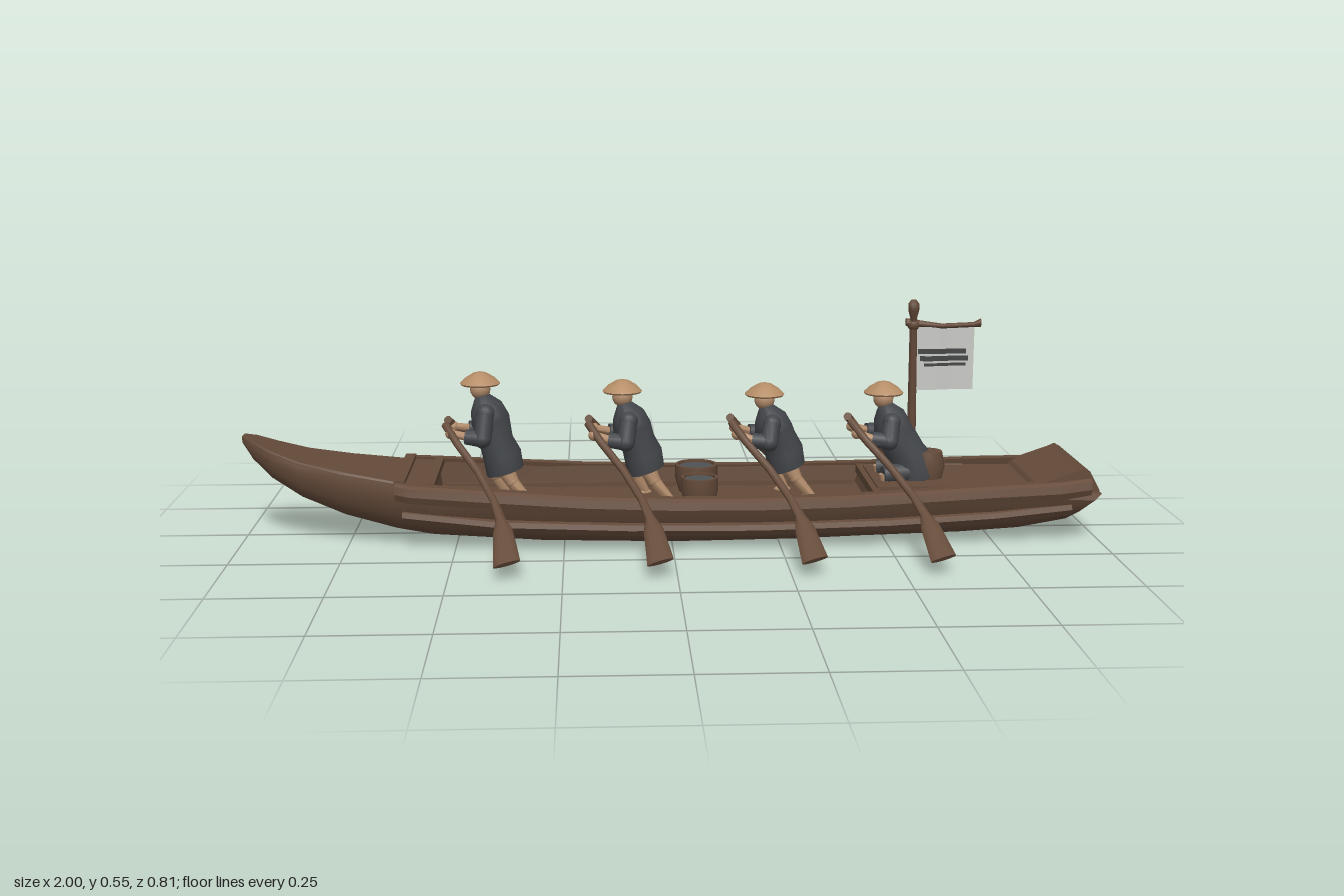
import * as THREE from 'three';
import { toCreasedNormals } from 'three/addons/utils/BufferGeometryUtils.js';

const mat = (name, color, side = THREE.FrontSide) =>
  Object.assign(new THREE.MeshStandardMaterial({ color, side }), { name });
const V = (x, y, z) => new THREE.Vector3(x, y, z);

export function createModel() {
  const wood = mat('dark wood', 0x654b3a);
  const robe = mat('charcoal cloth', 0x43464a);
  const straw = mat('straw', 0xb48c66);
  const skin = mat('skin', 0xb08a6a);
  const cloth = mat('flag cloth', 0xc9cac6, THREE.DoubleSide);
  const ink = mat('flag stripe', 0x444646, THREE.DoubleSide);
  const water = mat('bucket contents', 0x4e5254);

  const model = new THREE.Group();
  model.name = 'rowingBoat';
  const add = (name, geo, material, parent = model) => {
    const m = new THREE.Mesh(geo, material);
    m.name = name;
    parent.add(m);
    return m;
  };

  // Skin a row of equal rings and close both ends
  function loft(rings, crease = 0.6) {
    const n = rings[0].length, pos = [];
    const tri = (...ps) => ps.forEach(p => pos.push(p.x, p.y, p.z));
    for (let i = 0; i < rings.length - 1; i++) for (let j = 0; j < n; j++) {
      const k = (j + 1) % n, a = rings[i], b = rings[i + 1];
      tri(a[j], b[j], b[k]);
      tri(a[j], b[k], a[k]);
    }
    const first = rings[0], last = rings[rings.length - 1];
    const mid = r => r.reduce((s, p) => s.add(p), V(0, 0, 0)).divideScalar(n);
    const c0 = mid(first), c1 = mid(last);
    for (let j = 0; j < n; j++) {
      const k = (j + 1) % n;
      tri(c0, first[j], first[k]);
      tri(c1, last[k], last[j]);
    }
    const g = new THREE.BufferGeometry();
    g.setAttribute('position', new THREE.Float32BufferAttribute(pos, 3));
    return toCreasedNormals(g, crease);
  }

  // Elliptical sweep; each section is [x, y, z, radius across, other radius]
  function sweep(sections, sides = 12, crease = 1) {
    const pts = sections.map(s => V(s[0], s[1], s[2]));
    const d = pts[pts.length - 1].clone().sub(pts[0]).normalize();
    const u = Math.abs(d.x) > 0.9 ? V(0, 0, 1) : V(1, 0, 0);
    u.addScaledVector(d, -u.dot(d)).normalize();
    const v = u.clone().cross(d);
    return loft(sections.map((s, i) => Array.from({ length: sides }, (_, j) => {
      const a = j / sides * Math.PI * 2;
      return pts[i].clone().addScaledVector(u, Math.cos(a) * s[3])
        .addScaledVector(v, Math.sin(a) * (s[4] ?? s[3]));
    })), crease);
  }
  const ball = (name, x, y, z, r, material, parent) =>
    add(name, new THREE.SphereGeometry(r, 14, 10), material, parent).position.set(x, y, z);

  // Hull stations: x, bottom, top, half width, floor, stern rake
  const stations = [
    [-1, 0.225, 0.243, 0.018, 0.243, 0], [-0.975, 0.19, 0.233, 0.042, 0.235, 0],
    [-0.93, 0.148, 0.213, 0.068, 0.216, 0], [-0.86, 0.105, 0.188, 0.092, 0.193, 0],
    [-0.76, 0.065, 0.168, 0.115, 0.174, 0], [-0.64, 0.035, 0.152, 0.144, 0.156, 0],
    [-0.56, 0.022, 0.147, 0.158, 0.147, 0], [-0.55, 0.021, 0.146, 0.159, 0.085, 0],
    [-0.3, 0.006, 0.13, 0.174, 0.08, 0], [0, 0, 0.117, 0.18, 0.078, 0],
    [0.3, 0.003, 0.117, 0.178, 0.078, 0], [0.465, 0.008, 0.12, 0.17, 0.08, 0],
    [0.475, 0.008, 0.12, 0.17, 0.113, 0], [0.68, 0.012, 0.126, 0.157, 0.117, 0.01],
    [0.82, 0.02, 0.128, 0.152, 0.12, 0.04], [0.915, 0.038, 0.115, 0.15, 0.113, 0.085],
  ];
  add('hull', loft(stations.map(([x, b, t, w, f, rake]) => {
    const h = t - b;
    const half = [[0.55, 0], [0.74, 0.12], [0.9, 0.4], [1, 0.8], [0.97, 1], [0.87, 1]]
      .map(([z, y]) => [z * w, b + y * h]);
    half.push([0.85 * w, f]);
    const at = (z, y) => V(x + rake * (y - b) / h, y, z);
    return [at(0, b), ...half.map(([z, y]) => at(z, y)), at(0, f),
      ...half.reverse().map(([z, y]) => at(-z, y))];
  }), 0.5), wood);

  // Gunwales and lower strakes on both sides: x, y centre, z centre
  const gunwale = [[-0.635, 0.138, 0.15], [-0.6, 0.134, 0.163], [-0.4, 0.121, 0.174],
    [-0.2, 0.109, 0.182], [0, 0.103, 0.187], [0.2, 0.102, 0.188], [0.4, 0.105, 0.182],
    [0.6, 0.112, 0.168], [0.75, 0.118, 0.16], [0.9, 0.122, 0.15], [0.975, 0.13, 0.143]];
  const strake = [[-0.62, 0.078, 0.135], [-0.4, 0.06, 0.163], [-0.1, 0.052, 0.175],
    [0.2, 0.05, 0.176], [0.5, 0.054, 0.162], [0.75, 0.064, 0.147], [0.93, 0.08, 0.138]];
  function rail(name, path, section) {
    for (const s of [1, -1]) add(name, loft(path.map(([x, y, z]) => {
      const ring = section.map(([dz, dy]) => V(x, y + dy, s * (z + dz)));
      return s > 0 ? ring : ring.reverse();
    }), 0.5), wood);
  }
  rail('gunwale', gunwale, [[-0.02, -0.02], [0.003, -0.02], [0.01, -0.004],
    [0.006, 0.014], [-0.004, 0.02], [-0.03, 0.02]]);
  rail('lowerStrake', strake, [[-0.03, -0.018], [0.004, -0.016], [0.014, -0.002],
    [0.01, 0.01], [-0.02, 0.012]]);

  const box = (name, w, h, d, x, y, z) =>
    add(name, new THREE.BoxGeometry(w, h, d), wood).position.set(x, y, z);
  // Deck fittings
  box('bowBeam', 0.025, 0.02, 0.28, -0.625, 0.152, 0);
  box('foreDeckEdge', 0.02, 0.016, 0.27, -0.555, 0.146, 0);
  box('sternDeckEdge', 0.018, 0.02, 0.29, 0.475, 0.114, 0);
  box('sternHatch', 0.36, 0.012, 0.22, 0.66, 0.122, 0);
  for (const s of [1, -1]) box('floorPlank', 1.0, 0.012, 0.012, -0.04, 0.084, s * 0.125);

  // Raised stern board
  const side = new THREE.Shape([[0.83, 0.11], [0.998, 0.108], [0.996, 0.122], [0.972, 0.166],
    [0.958, 0.174], [0.945, 0.168], [0.85, 0.135]].map(p => new THREE.Vector2(...p)));
  add('sternBoard', new THREE.ExtrudeGeometry(side,
    { depth: 0.274, bevelEnabled: false }), wood).position.z = -0.137;

  // Buckets
  const bucketProfile = [[0, 0], [0.8, 0], [1, 0.035], [0.98, 0.066], [0.84, 0.066], [0.84, 0.055]];
  for (const [z, r] of [[-0.07, 0.052], [0.063, 0.044]]) {
    const g = new THREE.Group();
    g.name = 'bucket';
    g.position.set(0.067, 0.08, z);
    model.add(g);
    add('bucketWall', toCreasedNormals(new THREE.LatheGeometry(
      bucketProfile.map(([x, y]) => new THREE.Vector2(x * r, y)), 24), 0.6), wood, g);
    add('bucketFill', new THREE.CylinderGeometry(r * 0.85, r * 0.85, 0.004, 24), water, g)
      .position.y = 0.058;
  }

  // Rowers face the bow; each works a pair of oars
  const hatProfile = [[0, 0.006], [0.044, -0.004], [0.047, 0], [0.034, 0.013], [0.016, 0.024], [0, 0.028]]
    .map(p => new THREE.Vector2(...p));
  function rower(x, top, z, seated) {
    const g = new THREE.Group();
    g.name = seated ? 'seatedRower' : 'standingRower';
    g.position.set(x, 0, z);
    model.add(g);
    const dy = top - 0.39;
    add('hat', toCreasedNormals(new THREE.LatheGeometry(hatProfile, 20), 0.9), straw, g)
      .position.set(0, top - 0.028, 0);
    ball('head', 0, top - 0.043, 0, 0.024, skin, g);
    const body = seated
      ? [[0.08, 0.122, 0, 0.06, 0.058], [0.075, 0.15, 0, 0.058, 0.06], [0.055, 0.19, 0, 0.046, 0.052]]
      : [[0.055, 0.15, 0, 0.045, 0.05], [0.048, 0.19, 0, 0.046, 0.054], [0.035, 0.225, 0, 0.04, 0.047]];
    body.push([0.022, 0.275 + dy, 0, 0.046, 0.055], [0.014, 0.305 + dy, 0, 0.038, 0.052],
      [0.006, 0.325 + dy, 0, 0.022, 0.032], [0.002, 0.338 + dy, 0, 0.012, 0.014]);
    add('robe', sweep(body, 16), robe, g);

    for (const s of [1, -1]) {
      // Sleeve, forearm and hand
      const sy = 0.298 + dy, ey = 0.24 + dy * 0.5, hy = 0.25 + dy * 0.3;
      ball('shoulder', 0.014, sy, s * 0.044, 0.022, robe, g);
      add('upperSleeve', sweep([[0.014, sy, s * 0.045, 0.021], [0.006, ey, s * 0.06, 0.021]]), robe, g);
      ball('elbow', 0.006, ey, s * 0.06, 0.021, robe, g);
      add('lowerSleeve', sweep([[0.006, ey, s * 0.06, 0.02], [-0.032, ey + 0.004, s * 0.052, 0.018]]), robe, g);
      add('forearm', sweep([[-0.025, ey + 0.003, s * 0.053, 0.01], [-0.066, hy, s * 0.04, 0.009]]), skin, g);
      ball('hand', -0.068, hy, s * 0.042, 0.013, skin, g);

      // Legs
      if (seated) {
        add('foldedLeg', sweep([[0.07, 0.145, s * 0.03, 0.026], [-0.005, 0.142, s * 0.045, 0.02]]), robe, g);
        add('shin', sweep([[0, 0.145, s * 0.045, 0.014], [0.01, 0.09, s * 0.045, 0.011]]), skin, g);
      } else {
        const foot = s > 0 ? 0.11 : 0.055, knee = s > 0 ? 0.072 : 0.03;
        add('thigh', sweep([[0.052, 0.17, s * 0.026, 0.022], [knee, 0.132, s * 0.033, 0.016]]), skin, g);
        ball('knee', knee, 0.132, s * 0.033, 0.016, skin, g);
        add('shin', sweep([[knee, 0.132, s * 0.033, 0.015], [foot, 0.088, s * 0.038, 0.01]]), skin, g);
        add('foot', new THREE.SphereGeometry(0.013, 12, 8).scale(1.6, 0.6, 0.9), skin, g)
          .position.set(foot - 0.006, 0.087, s * 0.038);
      }

      // Oar with a flat, blunt blade
      const oz = v => s * v - z;
      add('oar', sweep([
        [-0.08, 0.268, oz(0.03), 0.01], [-0.05, 0.23, oz(0.07), 0.009], [0.0, 0.178, oz(0.13), 0.009],
        [0.04, 0.128, oz(0.21), 0.009], [0.056, 0.1, oz(0.265), 0.012, 0.009],
        [0.062, 0.083, oz(0.3), 0.023, 0.009], [0.07, 0.053, oz(0.36), 0.028, 0.008],
        [0.074, 0.037, oz(0.398), 0.031, 0.006]], 12), wood, g);
    }
  }
  rower(-0.445, 0.39, 0, false);
  rower(-0.112, 0.37, 0.005, false);
  rower(0.225, 0.357, -0.008, false);
  rower(0.507, 0.36, 0, true);

  // Small cask behind the last rower
  add('cask', toCreasedNormals(new THREE.LatheGeometry([[0, 0], [0.032, 0], [0.04, 0.035],
    [0.033, 0.07], [0, 0.072]].map(p => new THREE.Vector2(...p)), 20), 0.6), wood)
    .position.set(0.615, 0.122, 0.015);

  // Flag pole, crossbar and banner
  add('flagPole', sweep([[0.577, 0.12, 0, 0.011], [0.573, 0.49, 0.005, 0.009],
    [0.572, 0.51, 0.01, 0.008], [0.571, 0.53, 0.015, 0.013], [0.57, 0.545, 0.017, 0.013],
    [0.57, 0.554, 0.017, 0.006]], 12), wood);
  add('crossbar', sweep([[0.555, 0.5, 0.004, 0.009], [0.64, 0.49, 0.005, 0.006],
    [0.715, 0.493, 0.005, 0.006], [0.732, 0.497, 0.005, 0.01]], 10), wood);
  ball('poleJoint', 0.573, 0.494, 0.004, 0.015, wood);
  const wave = x => 0.005 + 0.004 * Math.sin((x - 0.58) * 45);
  function banner(name, x0, x1, y0, y1, dz, material) {
    const geo = new THREE.PlaneGeometry(x1 - x0, y1 - y0, 16, 1);
    geo.translate((x0 + x1) / 2, (y0 + y1) / 2, 0);
    const p = geo.attributes.position;
    for (let i = 0; i < p.count; i++) p.setZ(i, wave(p.getX(i)) + dz);
    geo.computeVertexNormals();
    add(name, geo, material);
  }
  banner('flag', 0.578, 0.718, 0.338, 0.49, 0, cloth);
  for (const dz of [0.002, -0.002]) {
    banner('upperStripe', 0.585, 0.7, 0.424, 0.436, dz, ink);
    banner('middleStripe', 0.59, 0.705, 0.407, 0.419, dz, ink);
    banner('lowerStripe', 0.6, 0.7, 0.395, 0.402, dz, ink);
  }
  return model;
}
